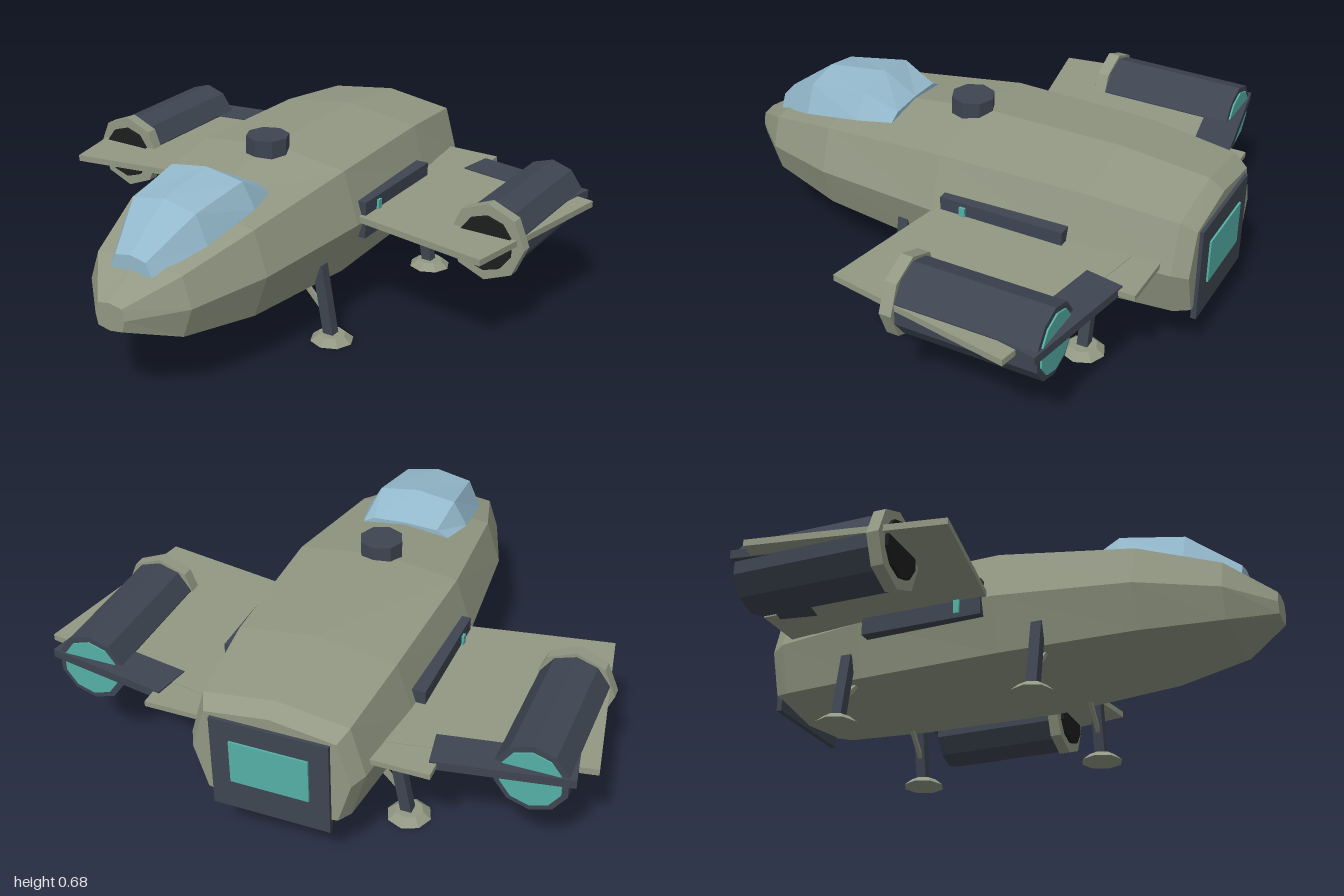
import * as THREE from 'three';

const paint = (name, color) => Object.assign(new THREE.MeshStandardMaterial({ color }), { name });

export function createModel() {
  const hullPaint = paint('hull grey green', 0x929883);
  const darkMetal = paint('dark slate', 0x3e4551);
  const glass = paint('canopy blue', 0x93b8cb);
  const glow = paint('engine teal', 0x55b0a7);
  const black = paint('intake black', 0x1d1e1e);

  const group = new THREE.Group();
  group.name = 'shuttle';

  // Faceted mesh with one normal per face
  function add(name, geometry, material, pos = [0, 0, 0], rotY = 0) {
    const geo = geometry.index ? geometry.toNonIndexed() : geometry;
    geo.computeVertexNormals();
    const mesh = new THREE.Mesh(geo, material);
    mesh.name = name;
    mesh.position.set(...pos);
    mesh.rotation.y = rotY;
    group.add(mesh);
    return mesh;
  }
  const box = (w, h, d) => new THREE.BoxGeometry(w, h, d);
  const drumZ = (r, len, sides) => new THREE.CylinderGeometry(r, r, len, sides).rotateX(Math.PI / 2);

  // Skin over rings that run from front to back, closed at both ends
  function loft(rings) {
    const n = rings[0].length, last = (rings.length - 1) * n, index = [];
    for (let s = 0; s < rings.length - 1; s++) {
      for (let i = 0; i < n; i++) {
        const a = s * n + i, b = s * n + (i + 1) % n, c = b + n, d = a + n;
        index.push(a, d, b, b, d, c);
      }
    }
    for (let i = 1; i < n - 1; i++) {
      index.push(0, i, i + 1, last, last + i + 1, last + i);
    }
    const geo = new THREE.BufferGeometry();
    geo.setAttribute('position', new THREE.Float32BufferAttribute(rings.flat(2), 3));
    geo.setIndex(index);
    return geo;
  }

  // Square bar between two points
  function bar(name, from, to, w, material) {
    const a = new THREE.Vector3(...from), b = new THREE.Vector3(...to);
    const dir = b.clone().sub(a);
    const mesh = add(name, box(w, dir.length(), w), material);
    mesh.position.copy(a).add(b).multiplyScalar(0.5);
    mesh.quaternion.setFromUnitVectors(new THREE.Vector3(0, 1, 0), dir.normalize());
  }

  // Hull: z, half width, top, bottom
  const k = 0.83;
  const octagon = [[1, 0], [k, k], [0, 1], [-k, k], [-1, 0], [-k, -k], [0, -1], [k, -k]];
  const hullStations = [
    [0.95, 0.06, 0.385, 0.285],
    [0.79, 0.21, 0.485, 0.22],
    [0.5, 0.31, 0.57, 0.185],
    [0, 0.365, 0.63, 0.16],
    [-0.55, 0.345, 0.63, 0.16],
    [-0.88, 0.31, 0.597, 0.168],
    [-0.935, 0.28, 0.56, 0.18],
  ];
  add('hull', loft(hullStations.map(([z, w, top, bottom]) => octagon.map(([x, y]) =>
    [x * w, (top + bottom) / 2 + y * (top - bottom) / 2, z]))), hullPaint);

  // Canopy: z, half width, base, top
  const arch = [[1, 0], [0.74, 0.8], [0, 1], [-0.74, 0.8], [-1, 0]];
  const canopyStations = [
    [0.835, 0.085, 0.45, 0.51],
    [0.65, 0.175, 0.515, 0.645],
    [0.41, 0.2, 0.565, 0.678],
    [0.28, 0.17, 0.575, 0.605],
  ];
  add('canopy', loft(canopyStations.map(([z, w, base, top]) => arch.map(([x, y]) =>
    [x * w, base + y * (top - base), z]))), glass);

  // Roof turret and rear hatch
  add('turret', new THREE.CylinderGeometry(0.08, 0.08, 0.08, 8), darkMetal, [0, 0.638, 0.035]);
  add('rearHatch', box(0.42, 0.355, 0.02), darkMetal, [0, 0.34, -0.938]);
  add('rearHatchGlow', box(0.28, 0.165, 0.008), glow, [0, 0.36, -0.951]);

  for (const s of [1, -1]) {
    const side = s > 0 ? 'left' : 'right';
    const sweep = -s * Math.PI / 18;

    // Wing, root plate and flap
    add(side + 'Wing', box(0.7, 0.024, 0.7), hullPaint, [s * 0.595, 0.408, -0.336], sweep);
    add(side + 'WingRoot', box(0.31, 0.02, 0.6), hullPaint, [s * 0.355, 0.408, -0.54]);
    add(side + 'Flap', box(0.47, 0.032, 0.14), darkMetal, [s * 0.705, 0.408, -0.675], sweep);

    // Engine
    const ex = s * 0.8, ey = 0.384;
    add(side + 'Engine', drumZ(0.13, 0.53, 10), darkMetal, [ex, ey, -0.435]);
    add(side + 'IntakeRing', drumZ(0.145, 0.045, 8), hullPaint, [ex, ey, -0.168]);
    add(side + 'Intake', drumZ(0.103, 0.02, 10), black, [ex, ey, -0.142]);
    add(side + 'Exhaust', drumZ(0.108, 0.012, 10), glow, [ex, ey, -0.7]);

    // Flank pod with a small light
    add(side + 'FlankPod', box(0.05, 0.14, 0.47), darkMetal, [s * 0.348, 0.4, -0.275]);
    add(side + 'FlankLight', box(0.02, 0.11, 0.022), glow, [s * 0.372, 0.4, -0.13]);

    // Landing gear
    for (const z of [0.15, -0.6]) {
      const name = side + (z > 0 ? 'Front' : 'Rear');
      bar(name + 'Leg', [s * 0.35, 0.02, z], [s * 0.3, 0.285, z], 0.04, darkMetal);
      bar(name + 'Strut', [s * 0.33, 0.1, z], [s * 0.22, 0.215, z], 0.016, hullPaint);
      add(name + 'Foot', new THREE.CylinderGeometry(0.05, 0.08, 0.025, 8), hullPaint, [s * 0.355, 0.0125, z]);
    }
  }
  return group;
}
